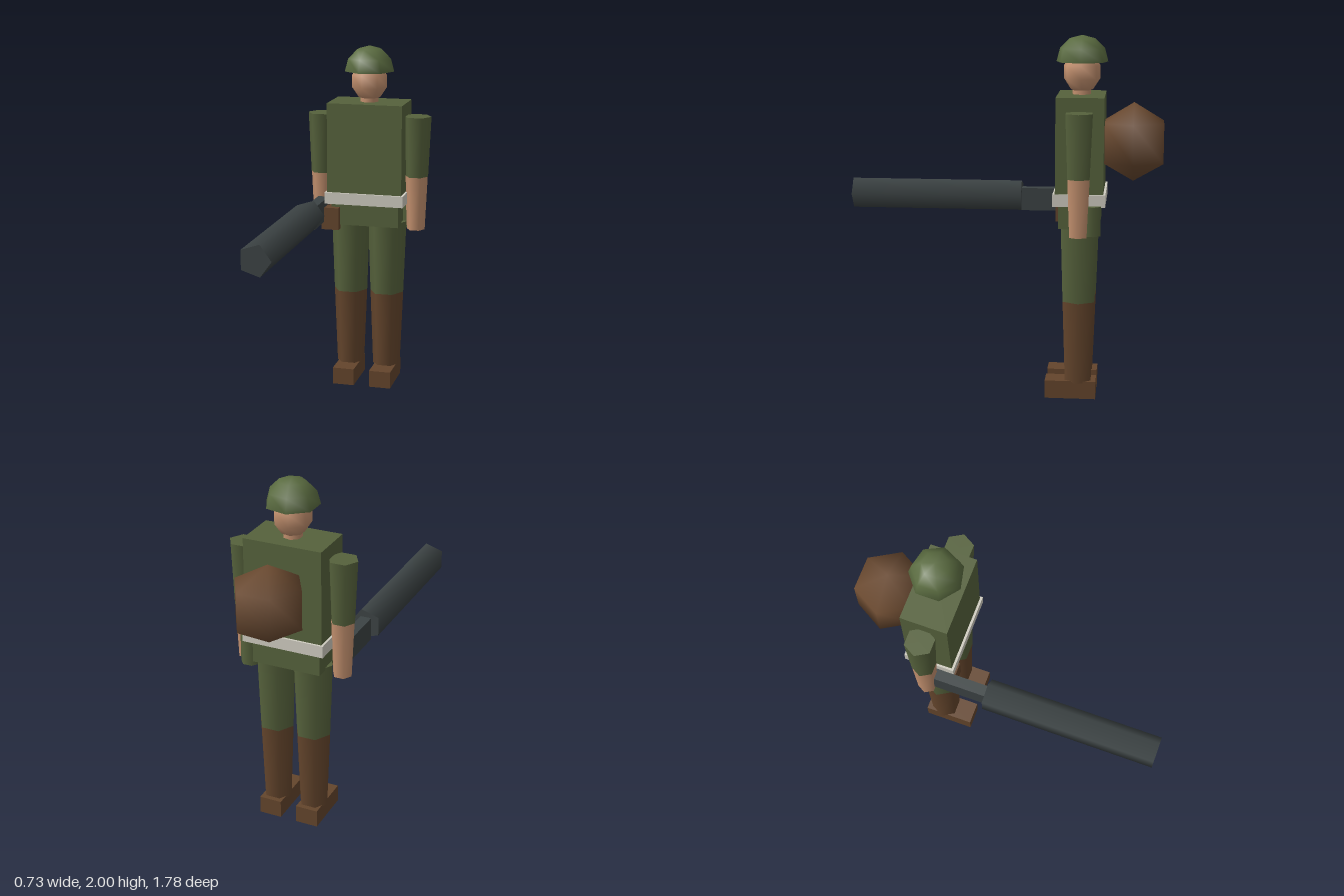
import * as THREE from 'three';

const mat = (name, color) => {
  const m = new THREE.MeshStandardMaterial({ color });
  m.name = name;
  return m;
};

export function createModel() {
  const uniform = mat('uniform green', 0x56623c);
  const helmetGreen = mat('helmet green', 0x5a6b40);
  const skin = mat('skin', 0xc4916f);
  const leather = mat('boot brown', 0x64452c);
  const packBrown = mat('pack brown', 0x6b4a30);
  const webbing = mat('belt off-white', 0xcfccc0);
  const steel = mat('gun steel', 0x3c4344);

  const model = new THREE.Group();
  model.name = 'soldier';
  const Z = -0.44; // depth of the body's centre line

  const add = (name, geometry, material, x = 0, y = 0, z = 0) => {
    const mesh = new THREE.Mesh(geometry, material);
    mesh.name = name;
    mesh.position.set(x, y, z);
    model.add(mesh);
    return mesh;
  };
  // Box given by its limits on each axis
  const box = (name, material, [x0, x1], [y0, y1], [z0, z1]) =>
    add(name, new THREE.BoxGeometry(x1 - x0, y1 - y0, z1 - z0), material,
      (x0 + x1) / 2, (y0 + y1) / 2, (z0 + z1) / 2);
  // Upright tapered prism with a corner towards +x
  const limb = (name, material, x, z, y0, y1, r0, r1, sides = 6) =>
    add(name, new THREE.CylinderGeometry(r1, r0, y1 - y0, sides, 1, false, Math.PI / 2),
      material, x, (y0 + y1) / 2, z);

  // Torso, hips and belt
  box('torso', uniform, [-0.22, 0.22], [1.1, 1.68], [-0.57, -0.31]);
  box('hips', uniform, [-0.2, 0.2], [0.965, 1.12], [-0.55, -0.328]);
  box('belt', webbing, [-0.232, 0.232], [1.093, 1.16], [-0.582, -0.297]);

  // Arms and legs, mirrored
  for (const [side, s] of [['left', 1], ['right', -1]]) {
    limb(side + 'Sleeve', uniform, s * 0.283, Z, 1.255, 1.605, 0.067, 0.082);
    limb(side + 'Forearm', skin, s * 0.281, Z, 0.94, 1.255, 0.053, 0.067);
    limb(side + 'Trouser', uniform, s * 0.11, Z, 0.55, 0.98, 0.1, 0.115);
    limb(side + 'Boot', leather, s * 0.11, Z, 0.09, 0.55, 0.082, 0.1);
    box(side + 'Foot', leather, [s * 0.111 - 0.064, s * 0.111 + 0.064], [0, 0.1], [-0.54, -0.258]);
  }

  // Neck and head
  limb('neck', skin, 0, Z, 1.66, 1.76, 0.052, 0.052, 7);
  const head = add('head', new THREE.SphereGeometry(0.107, 7, 5), skin, 0, 1.8, Z);
  head.scale.y = 1.08;
  head.rotation.y = Math.PI;

  // Helmet shell with a closed underside
  const shell = new THREE.SphereGeometry(0.145, 7, 3, 0, Math.PI * 2, 0, Math.PI / 2);
  add('helmet', shell, helmetGreen, 0, 1.856, Z).rotation.y = Math.PI;
  add('helmetUnderside', new THREE.CircleGeometry(0.145, 7), helmetGreen, 0, 1.856, Z)
    .rotation.x = Math.PI / 2;

  // Rounded backpack, hip pouch and canteen
  add('backpack', new THREE.SphereGeometry(0.217, 6, 3), packBrown, 0, 1.422, -0.727);
  box('pouch', leather, [-0.25, -0.148], [0.94, 1.07], [-0.37, -0.292]);
  limb('canteen', uniform, 0.222, -0.507, 0.94, 1.1, 0.057, 0.057, 7).rotation.y = 0.25;

  // Gun: five-sided barrel casing and flat stock held at the right hip
  const barrel = new THREE.CylinderGeometry(0.09, 0.09, 0.98, 5, 1, false, Math.PI / 2);
  barrel.rotateX(Math.PI / 2);
  add('gunBarrel', barrel, steel, -0.265, 1.0715, 0.398);
  box('gunStock', steel, [-0.295, -0.233], [0.985, 1.114], [-0.42, -0.09]);

  return model;
}
